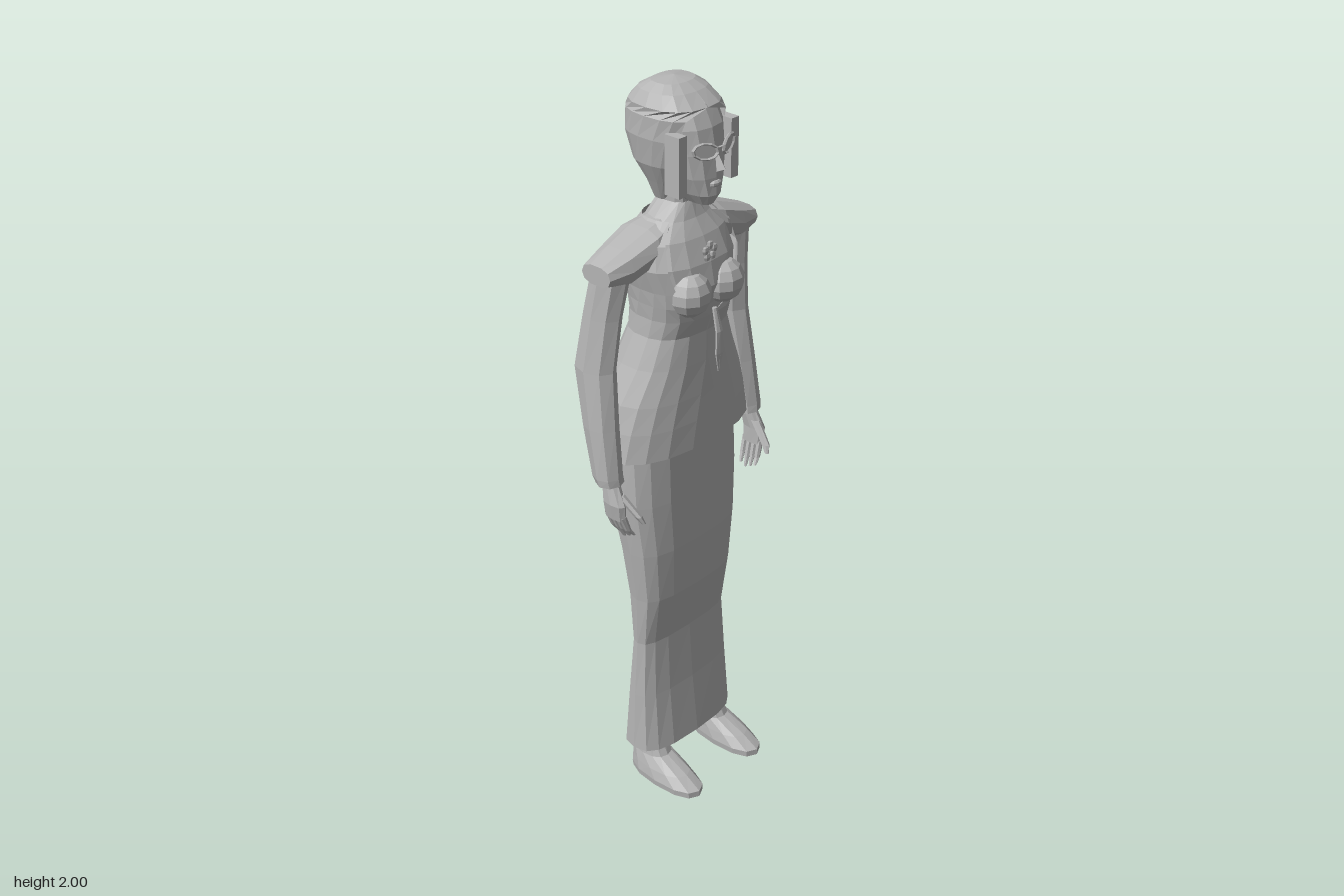
import * as THREE from 'three';

const cloth = new THREE.MeshStandardMaterial({ color: 0xb4b4b4, flatShading: true, side: THREE.DoubleSide });
cloth.name = 'plain grey';

// Skin over rings stacked upward. Row: [y, centre x, half width, front z, back z, front gap].
// A gap leaves the ring open at the front by that half width.
function loft(rows, { n = 12, p = 0.8, open = false, caps = true } = {}) {
  const pos = [], idx = [], m = n + 1;
  const bend = v => Math.sign(v) * Math.abs(v) ** p;
  for (const [y, xc, w, zf, zb, gap = 0] of rows) {
    const a = open ? Math.asin(Math.min(0.99, gap / w) ** (1 / p)) : 0;
    for (let j = 0; j < m; j++) {
      const t = a + (j / n) * (2 * Math.PI - 2 * a);
      pos.push(xc + w * bend(Math.sin(t)), y, (zf + zb) / 2 + (zf - zb) / 2 * bend(Math.cos(t)));
    }
  }
  for (let i = 0; i < rows.length - 1; i++) {
    for (let j = 0; j < n; j++) {
      const a = i * m + j, b = a + 1, d = a + m, c = d + 1;
      idx.push(a, b, c, a, c, d);
    }
  }
  if (caps && !open) {
    const top = (rows.length - 1) * m;
    for (let j = 1; j < n - 1; j++) idx.push(0, j + 1, j, top, top + j, top + j + 1);
  }
  const g = new THREE.BufferGeometry();
  g.setAttribute('position', new THREE.Float32BufferAttribute(pos, 3));
  g.setIndex(idx);
  g.computeVertexNormals();
  return g;
}

export function createModel() {
  const model = new THREE.Group();
  const add = (name, geo, x = 0, y = 0, z = 0) => {
    const mesh = new THREE.Mesh(geo, cloth);
    mesh.name = name;
    mesh.position.set(x, y, z);
    model.add(mesh);
    return mesh;
  };

  // Long straight skirt
  add('skirt', loft([
    [0.1, 0, 0.18, 0.065, -0.088], [0.28, 0, 0.172, 0.045, -0.068], [0.45, 0, 0.162, 0.033, -0.052],
    [0.6, 0, 0.17, 0.06, -0.065], [0.75, 0, 0.185, 0.068, -0.085], [0.9, 0, 0.2, 0.066, -0.118],
    [1.05, 0, 0.2, 0.062, -0.135], [1.2, 0, 0.18, 0.06, -0.125],
  ], { n: 16, p: 0.7 }));

  // Body under the jacket
  add('torso', loft([
    [1.15, 0, 0.18, 0.06, -0.13], [1.37, 0, 0.125, 0.075, -0.1], [1.44, 0, 0.12, 0.09, -0.1],
    [1.5, 0, 0.13, 0.112, -0.11], [1.56, 0, 0.145, 0.1, -0.11], [1.62, 0, 0.13, 0.075, -0.095],
    [1.66, 0, 0.085, 0.05, -0.075], [1.7, 0, 0.042, 0.035, -0.062],
  ], { n: 16 }));
  add('neck', loft([[1.64, 0, 0.055, 0.045, -0.07], [1.7, 0, 0.042, 0.035, -0.06], [1.77, 0, 0.045, 0.04, -0.065]]));

  // Fitted jacket, parted below the waist and around the bust
  add('jacket', loft([
    [1.053, 0, 0.247, 0.095, -0.186, 0.055], [1.13, 0, 0.23, 0.094, -0.182, 0.04], [1.2, 0, 0.208, 0.092, -0.17, 0.024],
    [1.29, 0, 0.165, 0.09, -0.135, 0.004], [1.37, 0, 0.134, 0.088, -0.11, 0.001], [1.42, 0, 0.13, 0.105, -0.11, 0.004],
    [1.46, 0, 0.134, 0.118, -0.114, 0.075], [1.5, 0, 0.14, 0.12, -0.12, 0.108], [1.56, 0, 0.157, 0.108, -0.122, 0.125],
    [1.62, 0, 0.145, 0.083, -0.105, 0.115], [1.665, 0, 0.09, 0.055, -0.082, 0.075],
  ], { n: 18, open: true }));

  // Head, face and hair
  add('face', loft([
    [1.708, 0, 0.022, 0.1, 0.02], [1.735, 0, 0.042, 0.115, -0.03], [1.78, 0, 0.064, 0.115, -0.06],
    [1.84, 0, 0.078, 0.112, -0.08], [1.9, 0, 0.086, 0.1, -0.09], [1.95, 0, 0.08, 0.075, -0.09],
  ], { n: 14 }));
  add('hair', loft([
    [1.7, 0, 0.045, 0, -0.064, 0.035], [1.75, 0, 0.068, 0.03, -0.08, 0.055], [1.8, 0, 0.092, 0.06, -0.112, 0.075],
    [1.87, 0, 0.104, 0.09, -0.137, 0.08], [1.925, 0, 0.104, 0.1, -0.134, 0.07], [1.945, 0, 0.099, 0.087, -0.127, 0.001],
    [1.975, 0, 0.08, 0.05, -0.1, 0], [1.992, 0, 0.055, 0.02, -0.07, 0], [2, 0, 0.001, -0.02, -0.022, 0],
  ], { n: 16, open: true }));
  const nose = add('nose', new THREE.ConeGeometry(0.015, 0.06, 4), 0, 1.83, 0.118);
  nose.rotation.x = -0.35;
  add('lips', new THREE.SphereGeometry(0.02, 8, 5), 0, 1.765, 0.112).scale.set(1, 0.45, 0.5);
  add('glassesBridge', new THREE.BoxGeometry(0.03, 0.006, 0.006), 0, 1.855, 0.122);

  // Brooch and hanging tie at the jacket front
  for (let i = 0; i < 5; i++) {
    const a = i * Math.PI * 0.4 + Math.PI / 2;
    add('broochPetal', new THREE.SphereGeometry(0.012, 6, 4), 0.016 * Math.cos(a), 1.585 + 0.016 * Math.sin(a), 0.096).scale.z = 0.5;
  }
  add('tie', loft([
    [1.27, 0, 0.002, 0.13, 0.126], [1.32, 0, 0.014, 0.134, 0.126], [1.38, 0, 0.012, 0.134, 0.124], [1.44, 0, 0.007, 0.118, 0.108],
  ], { n: 6 }));

  for (const s of [1, -1]) {
    // Bust
    add('bust', new THREE.SphereGeometry(0.058, 10, 7), s * 0.06, 1.488, 0.085).scale.set(1, 1, 0.93);

    // Padded shoulder, lofted sideways
    const pad = loft([
      [0.03, -s * 1.645, 0.035, 0.035, -0.062], [0.12, -s * 1.607, 0.048, 0.05, -0.095],
      [0.2, -s * 1.577, 0.047, 0.036, -0.088], [0.265, -s * 1.57, 0.026, 0.02, -0.075],
    ], { n: 10 });
    pad.rotateZ(-s * Math.PI / 2);
    add('shoulder', pad);

    // Sleeve, bent slightly forward below the elbow
    add('sleeve', loft([
      [1.01, s * 0.262, 0.037, 0.036, -0.034], [1.03, s * 0.264, 0.038, 0.034, -0.044], [1.16, s * 0.257, 0.041, 0.018, -0.08],
      [1.31, s * 0.245, 0.043, 0.002, -0.118], [1.45, s * 0.229, 0.042, 0.01, -0.1], [1.57, s * 0.213, 0.045, 0.025, -0.08],
      [1.6, s * 0.205, 0.035, 0.02, -0.065],
    ], { n: 8, p: 1 }));

    // Hand with curled fingers
    add('palm', loft([
      [0.915, s * 0.264, 0.014, 0.055, -0.012], [0.96, s * 0.268, 0.017, 0.058, -0.014], [1.02, s * 0.262, 0.017, 0.025, -0.02],
    ], { n: 8 }));
    for (let i = 0; i < 4; i++) {
      const z = -0.004 + i * 0.017, tip = 0.848 + Math.abs(i - 1) * 0.008;
      add('finger', loft([
        [tip, s * 0.235, 0.004, z + 0.013, z + 0.005], [0.882, s * 0.25, 0.008, z + 0.011, z - 0.004], [0.925, s * 0.265, 0.01, z + 0.008, z - 0.008],
      ], { n: 6 }));
    }
    add('thumb', loft([
      [0.915, s * 0.238, 0.005, 0.1, 0.088], [0.935, s * 0.246, 0.009, 0.094, 0.07], [0.985, s * 0.26, 0.011, 0.045, 0.02],
    ], { n: 6 }));

    // Foot with pointed toe, and ankle
    add('foot', loft([
      [0, s * 0.122, 0.05, 0.184, -0.058], [0.018, s * 0.122, 0.052, 0.184, -0.06], [0.045, s * 0.121, 0.047, 0.135, -0.058],
      [0.075, s * 0.118, 0.04, 0.06, -0.056], [0.13, s * 0.116, 0.036, 0.03, -0.05],
    ], { n: 12, p: 0.85 }));

    // Side lock of hair
    add('sideLock', new THREE.BoxGeometry(0.026, 0.15, 0.047), s * 0.091, 1.823, 0.068);

    // Glasses with upswept corners
    const rim = add('glassesRim', new THREE.TorusGeometry(0.026, 0.004, 4, 10), s * 0.04, 1.855, 0.116);
    rim.scale.set(1.3, 0.75, 1);
    rim.rotation.set(0, s * 0.35, s * 0.2);
    const lens = add('glassesLens', new THREE.CircleGeometry(0.026, 10), s * 0.04, 1.855, 0.116);
    lens.scale.copy(rim.scale);
    lens.rotation.copy(rim.rotation);
  }
  return model;
}
